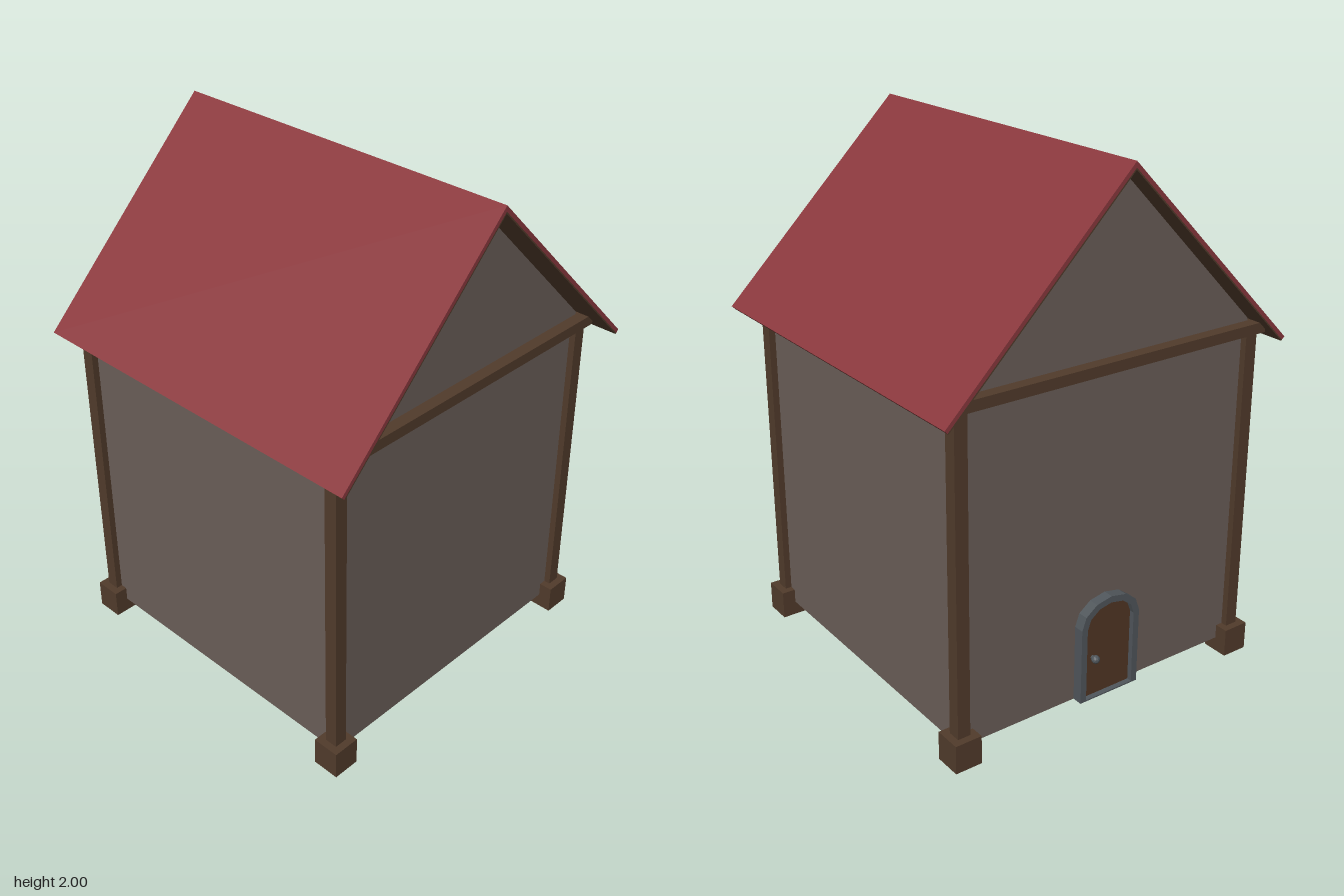
import * as THREE from 'three';

const mat = (color) => new THREE.MeshStandardMaterial({ color, flatShading: true });

export function createModel() {
  const house = new THREE.Group();
  house.name = 'house';
  const wall = mat(0x6a5e58), wood = mat(0x513b2b), red = mat(0x8a383d);
  const stone = mat(0x50565b), doorWood = mat(0x513624);

  const add = (name, geometry, material, x = 0, y = 0, z = 0) => {
    const mesh = new THREE.Mesh(geometry, material);
    mesh.name = name;
    mesh.position.set(x, y, z);
    house.add(mesh);
    return mesh;
  };
  const box = (name, material, w, h, d, x, y, z) =>
    add(name, new THREE.BoxGeometry(w, h, d), material, x, y, z);
  const polygon = (points) => new THREE.Shape(points.map(([x, y]) => new THREE.Vector2(x, y)));
  const extrude = (shape, depth) =>
    new THREE.ExtrudeGeometry(shape, { depth, bevelEnabled: false });

  // The walled body sits slightly behind the middle
  const midZ = -0.0175, halfX = 0.62, halfZ = 0.6175;

  // Walls and floor, with the gables rising into the roof
  const body = polygon([
    [-halfX, 0.055], [halfX, 0.055], [halfX, 1.345], [0, 1.972], [-halfX, 1.345],
  ]);
  add('walls', extrude(body, 2 * halfZ), wall, 0, 0, midZ - halfZ);

  // Corner posts on square feet
  for (const sx of [-1, 1]) {
    for (const sz of [-1, 1]) {
      const x = sx * halfX, z = midZ + sz * halfZ;
      box('post', wood, 0.05, 1.25, 0.05, x, 0.685, z);
      box('foot', wood, 0.105, 0.11, 0.105, x, 0.055, z);
    }
  }

  // Ring of beams on top of the posts
  for (const s of [-1, 1]) {
    box('crossBeam', wood, 1.33, 0.04, 0.09, 0, 1.315, midZ + s * halfZ);
    box('sideBeam', wood, 0.09, 0.04, 1.325, s * halfX, 1.315, midZ);
  }

  // Roof: a 45 degree chevron of tiles over a thin wooden lining
  const chevron = (outer, inner) => {
    const edge = (t) => [0.72 - t * Math.SQRT1_2, 1.28 - t * Math.SQRT1_2];
    const ridge = (t) => [0, 2 - t * Math.SQRT2];
    const [ax, ay] = edge(outer), [bx, by] = edge(inner);
    return polygon([[ax, ay], ridge(outer), [-ax, ay], [-bx, by], ridge(inner), [bx, by]]);
  };
  add('roof', extrude(chevron(0, 0.015), 1.445), red, 0, 0, -0.7225);
  add('roofLining', extrude(chevron(0.015, 0.02), 1.445), wood, 0, 0, -0.7225);

  // Arched door in the back wall
  const arch = (w, top, bottom) => {
    const spring = top - w * 0.75;
    const points = [[-w, bottom], [w, bottom]];
    for (let i = 0; i <= 6; i++) {
      const a = (i / 6) * Math.PI;
      points.push([w * Math.cos(a), spring + w * 0.75 * Math.sin(a)]);
    }
    return points;
  };
  const frame = polygon(arch(0.13, 0.45, 0.055));
  frame.holes.push(new THREE.Path(
    arch(0.105, 0.425, 0.06).map(([x, y]) => new THREE.Vector2(x, y))));
  add('doorFrame', extrude(frame, 0.045), stone, 0, 0, -0.675);
  add('door', extrude(polygon(arch(0.106, 0.426, 0.058)), 0.03), doorWood, 0, 0, -0.655);

  // Round handle on a short stem
  add('doorKnob', new THREE.IcosahedronGeometry(0.016, 1), stone, 0.065, 0.215, -0.674);
  const stem = add('knobStem', new THREE.CylinderGeometry(0.008, 0.008, 0.03, 8), stone, 0.065, 0.215, -0.66);
  stem.rotation.x = Math.PI / 2;

  return house;
}
